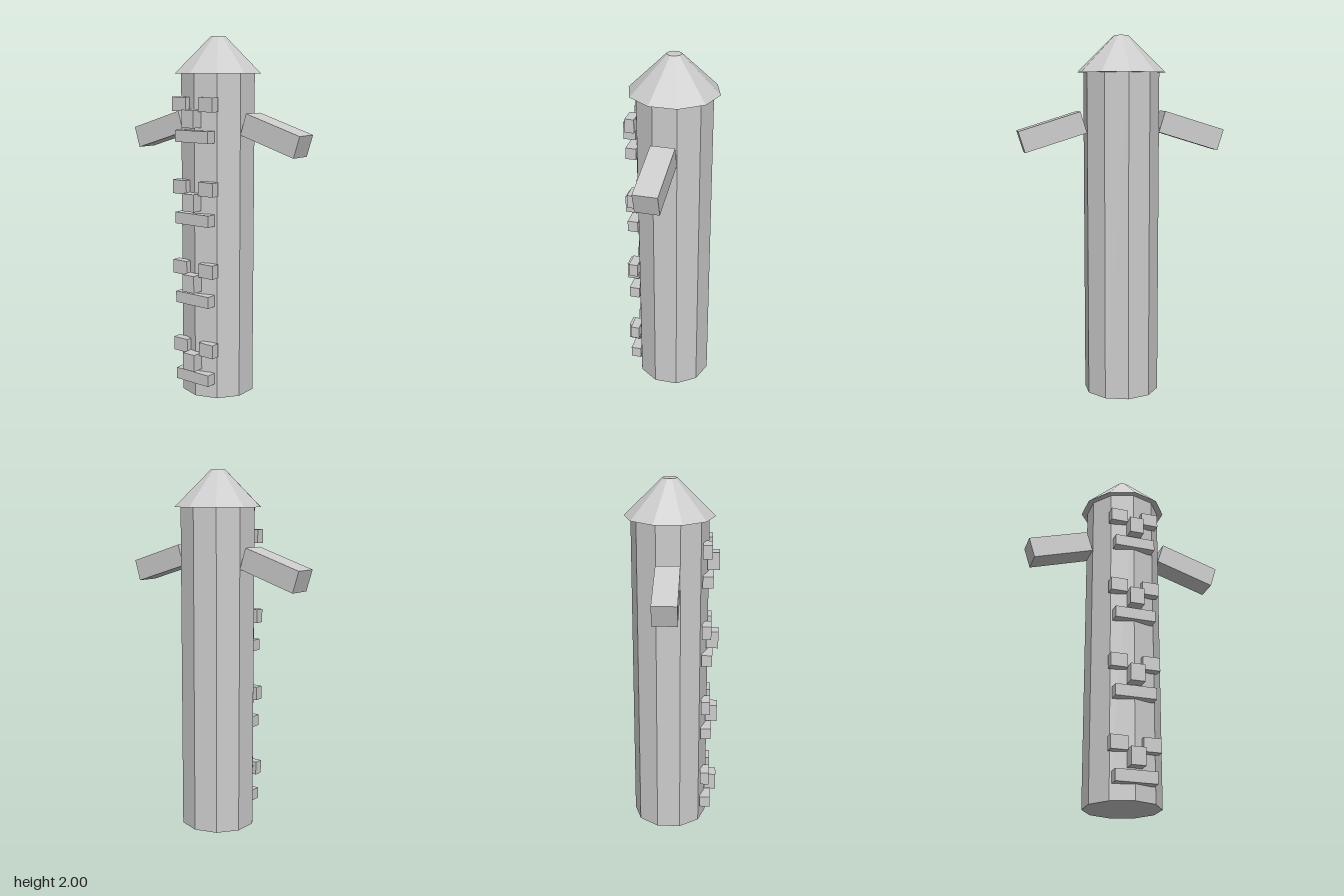
import * as THREE from 'three';

export function createModel() {
  const model = new THREE.Group();
  const grey = new THREE.MeshStandardMaterial({ color: 0xcccccc, flatShading: true });
  grey.name = 'plain grey';
  const axisZ = -0.0125; // tower axis sits slightly behind centre

  const add = (name, geometry, x, y, z, parent = model) => {
    const mesh = new THREE.Mesh(geometry, grey);
    mesh.name = name;
    mesh.position.set(x, y, z);
    parent.add(mesh);
    return mesh;
  };

  // Ten-sided tower and its truncated conical roof
  add('tower', new THREE.CylinderGeometry(0.21, 0.21, 1.8, 10), 0, 0.9, axisZ);
  add('roof', new THREE.CylinderGeometry(0.04, 0.245, 0.2, 10), 0, 1.9, axisZ);

  // Drooping arms
  const armGeometry = new THREE.BoxGeometry(0.353, 0.121, 0.13);
  for (const side of [1, -1]) {
    const arm = add(side > 0 ? 'leftArm' : 'rightArm', armGeometry, side * 0.387, 1.48, axisZ);
    arm.rotation.z = -side * 0.3;
  }

  // Four stacked faces, each with two eyes, a nose and a mouth
  const eyeGeometry = new THREE.BoxGeometry(0.096, 0.076, 0.05);
  const noseGeometry = new THREE.BoxGeometry(0.08, 0.096, 0.067);
  const mouthGeometry = new THREE.BoxGeometry(0.228, 0.064, 0.058);
  for (let i = 0; i < 4; i++) {
    const face = new THREE.Group();
    face.name = `face${i + 1}`;
    face.position.y = 0.45 * i;
    add('leftEye', eyeGeometry, 0.09, 0.288, 0.1925, face);
    add('rightEye', eyeGeometry, -0.09, 0.288, 0.1925, face);
    add('nose', noseGeometry, 0, 0.213, 0.2235, face);
    add('mouth', mouthGeometry, 0, 0.117, 0.196, face);
    model.add(face);
  }

  return model;
}
